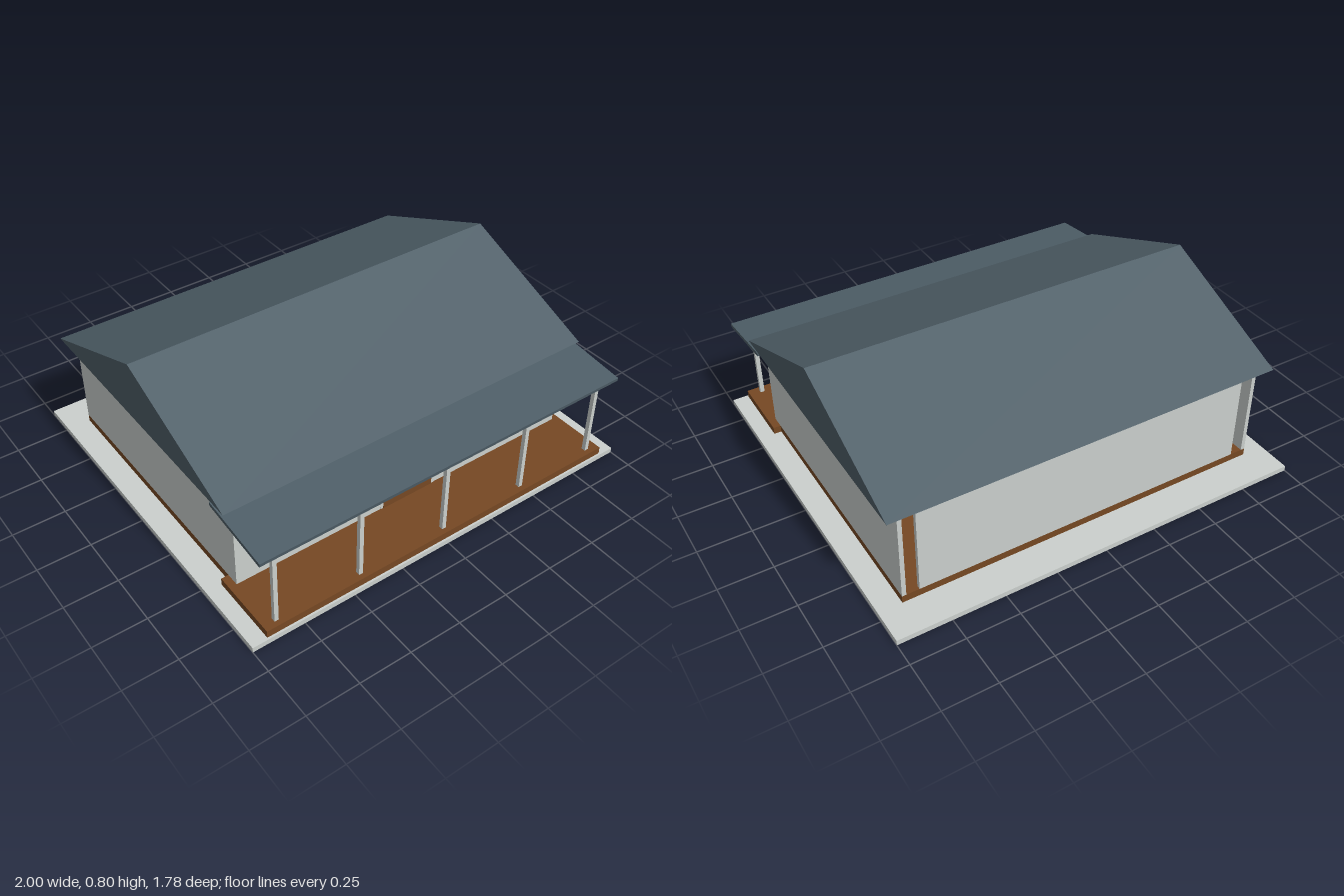
import * as THREE from 'three';

const mat = (name, color) => {
  const m = new THREE.MeshStandardMaterial({ color });
  m.name = name;
  return m;
};

export function createModel() {
  const house = new THREE.Group();
  house.name = 'house';

  const plaster = mat('pale grey plaster', 0xcbd0cd);
  const timber = mat('brown timber', 0x764823);
  const slate = mat('slate blue roofing', 0x4e5e67);
  const glass = mat('blue glass', 0x699cab);

  // Box given by its lower and upper bounds on each axis
  const box = (name, material, [x0, x1], [y0, y1], [z0, z1]) => {
    const mesh = new THREE.Mesh(new THREE.BoxGeometry(x1 - x0, y1 - y0, z1 - z0), material);
    mesh.position.set((x0 + x1) / 2, (y0 + y1) / 2, (z0 + z1) / 2);
    mesh.name = name;
    house.add(mesh);
    return mesh;
  };

  // Solid with a (z, y) outline, running the width of the house along x
  const prism = (name, material, points, halfWidth) => {
    const shape = new THREE.Shape(points.map(([z, y]) => new THREE.Vector2(-z, y)));
    const geo = new THREE.ExtrudeGeometry(shape, { depth: halfWidth * 2, bevelEnabled: false });
    geo.translate(0, 0, -halfWidth);
    geo.rotateY(Math.PI / 2);
    const mesh = new THREE.Mesh(geo, material);
    mesh.name = name;
    house.add(mesh);
  };

  // Ground slab, house floor and wider porch deck
  box('groundSlab', plaster, [-1, 1], [0, 0.025], [-0.89, 0.89]);
  box('houseFloor', timber, [-0.89, 0.89], [0.025, 0.06], [-0.725, 0.54]);
  box('porchDeck', timber, [-0.925, 0.925], [0.025, 0.06], [0.54, 0.88]);

  // Thin walls around a hollow room; the back wall stops short of the corners
  const wallY = [0.06, 0.505];
  box('backWall', plaster, [-0.81, 0.81], wallY, [-0.725, -0.705]);
  box('frontWall', plaster, [-0.87, 0.87], wallY, [0.583, 0.603]);
  for (const s of [-1, 1]) {
    box('sideWall', plaster, [s * 0.88 - 0.01, s * 0.88 + 0.01], wallY, [-0.725, 0.603]);
  }

  // Door with its frame
  box('doorFrame', plaster, [-0.15, 0.15], [0.06, 0.432], [0.6, 0.605]);
  box('door', timber, [-0.135, 0.135], [0.06, 0.42], [0.6, 0.607]);

  // Two windows on each side of the door
  for (const x of [-0.595, -0.325, 0.325, 0.595]) {
    box('window', glass, [x - 0.085, x + 0.085], [0.2, 0.4], [0.601, 0.61]);
  }

  // Porch posts
  for (const x of [-0.863, -0.446, 0, 0.446, 0.863]) {
    box('porchPost', plaster, [x - 0.01, x + 0.01], [0.06, 0.456], [0.835, 0.855]);
  }

  // Gable roof and the sloping porch roof
  prism('mainRoof', slate, [[0.64, 0.515], [-0.765, 0.515], [-0.0625, 0.8]], 0.95);
  prism('porchRoof', slate, [[0.888, 0.447], [0.54, 0.488], [0.538, 0.506], [0.89, 0.464]], 0.95);

  return house;
}
